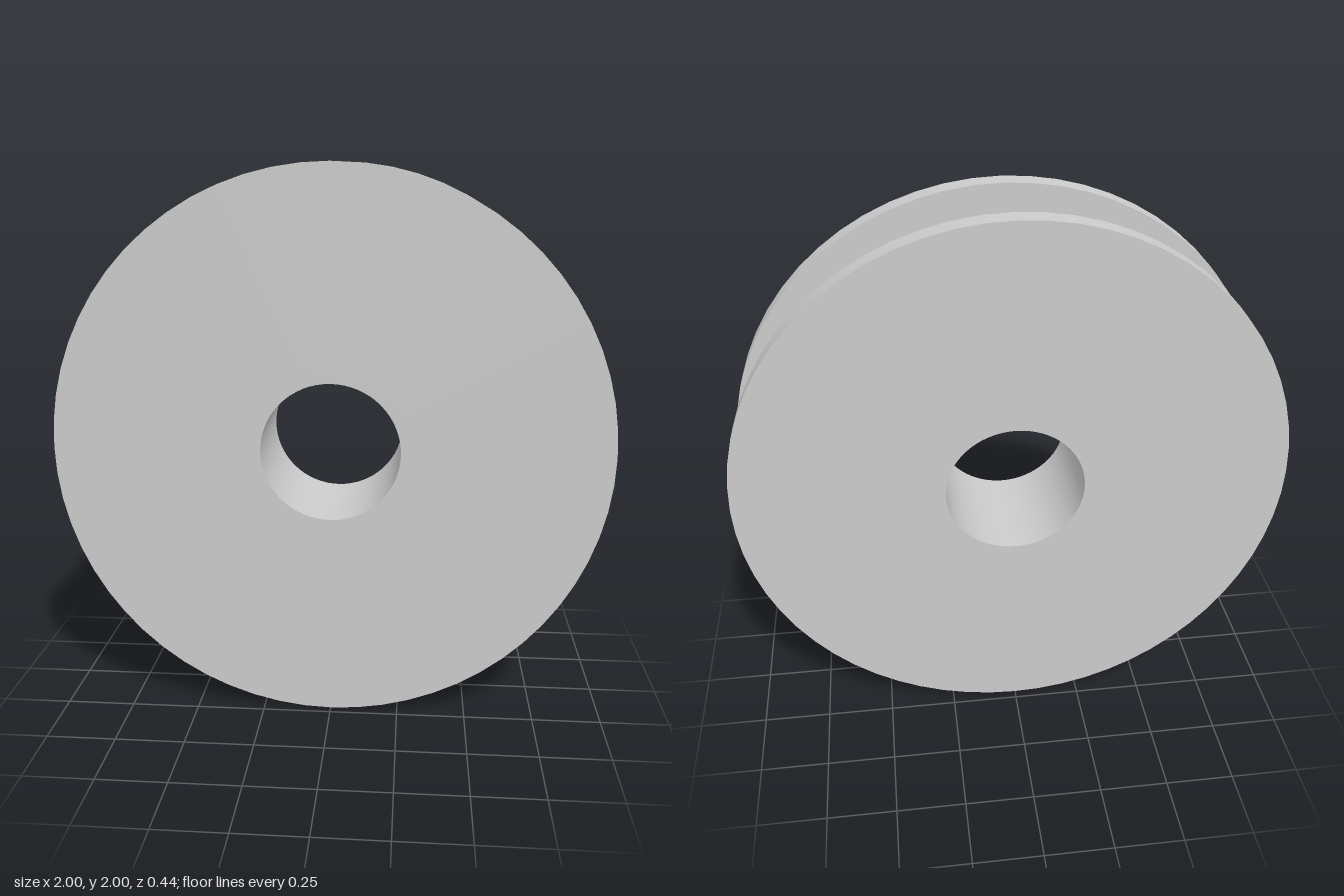
import * as THREE from 'three';
import { toCreasedNormals } from 'three/addons/utils/BufferGeometryUtils.js';

const RIM = 1, HUB = 0.75, BORE = 0.25; // radii
const OUT = 0.218, IN = 0.143;          // z of the flange faces
const SEGMENTS = 64;

export function createModel() {
  const group = new THREE.Group();
  group.name = 'spool';
  const material = new THREE.MeshStandardMaterial({ color: 0xcccccc });

  // Revolves [radius, z] points around the z axis, keeping hard edges
  function revolve(name, profile) {
    const points = profile.map(([r, z]) => new THREE.Vector2(r, z));
    const geometry = new THREE.LatheGeometry(points, SEGMENTS).rotateX(Math.PI / 2);
    const mesh = new THREE.Mesh(toCreasedNormals(geometry, Math.PI / 6), material);
    mesh.name = name;
    mesh.position.y = RIM;
    group.add(mesh);
    return mesh;
  }

  // Flanges: inner face, rim, outer face
  const flange = [[HUB, IN], [RIM, IN], [RIM, OUT], [BORE, OUT]];
  revolve('frontFlange', flange);
  revolve('backFlange', flange).rotation.y = Math.PI;

  // Drum between the flanges
  revolve('hub', [[HUB, -IN], [HUB, IN]]);

  // Wall of the axle hole, facing inward
  revolve('bore', [[BORE, OUT], [BORE, -OUT]]);

  return group;
}
